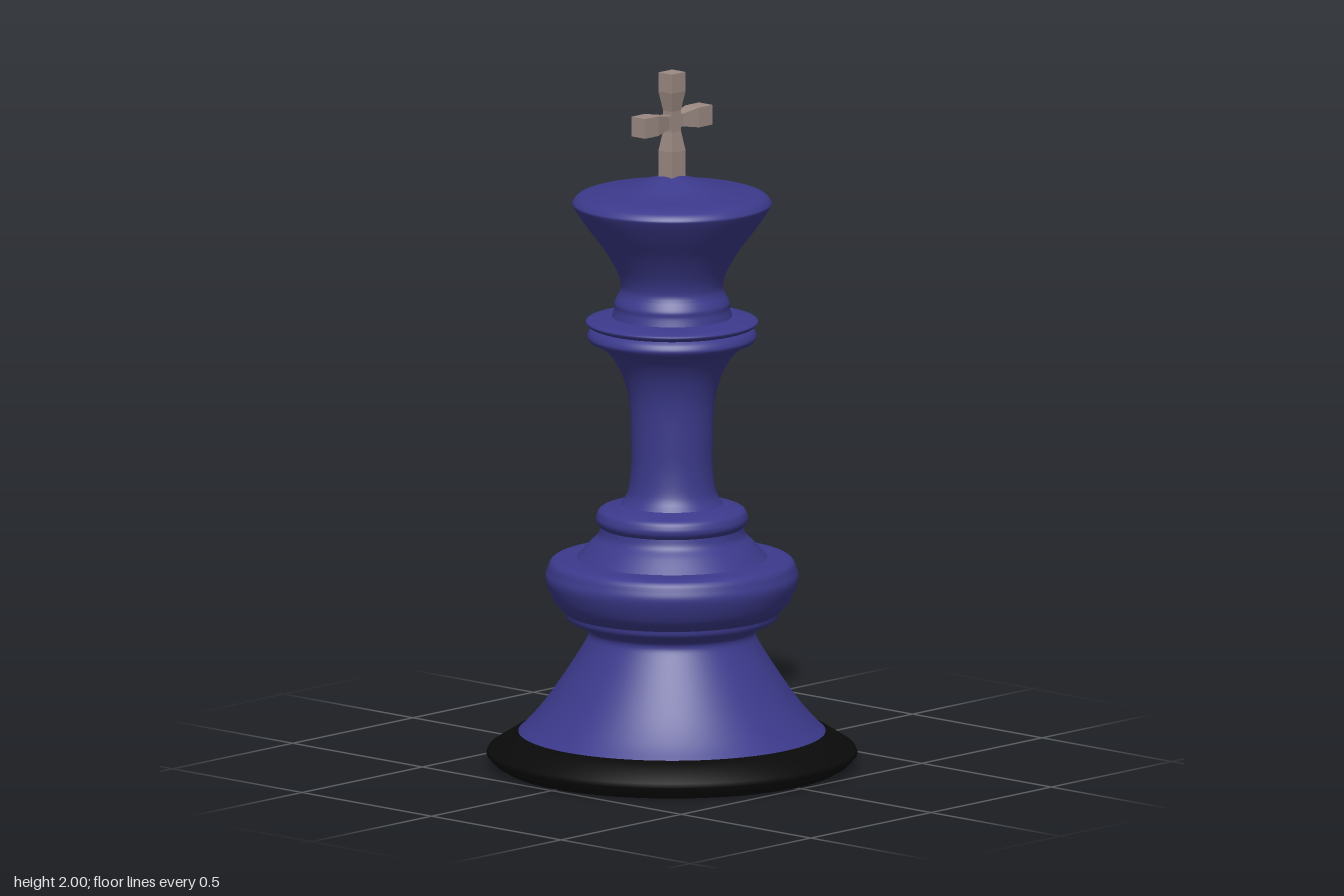
import * as THREE from 'three';

const blue = new THREE.MeshStandardMaterial({ color: 0x3c3a8c, side: THREE.DoubleSide });
const black = new THREE.MeshStandardMaterial({ color: 0x0a0a0a, side: THREE.DoubleSide });
const stone = new THREE.MeshStandardMaterial({ color: 0x9c8a82, flatShading: true });

// One turned section from [radius, height] points; curved sections run through a spline
function turned(name, points, material, curved = true) {
  const pts = points.map(([r, y]) => new THREE.Vector2(r, y));
  const profile = curved ? new THREE.SplineCurve(pts).getPoints(points.length * 4) : pts;
  profile.forEach(p => { p.x = Math.max(p.x, 0); });
  const mesh = new THREE.Mesh(new THREE.LatheGeometry(profile, 96), material);
  mesh.name = name;
  return mesh;
}

// Square bar along y, flared at both ends and pinched in the middle
function crossBar(name, bottom, top) {
  const rows = [[bottom, 1], [-0.085, 1], [-0.03, 0.66], [0.03, 0.66], [0.085, 1], [top, 1]];
  const geometry = new THREE.BoxGeometry(0.052, 1, 0.057, 1, rows.length - 1, 1);
  const pos = geometry.attributes.position;
  for (let i = 0; i < pos.count; i++) {
    const [y, s] = rows[Math.round((pos.getY(i) + 0.5) * (rows.length - 1))];
    pos.setXYZ(i, pos.getX(i) * s, y, pos.getZ(i) * s);
  }
  geometry.computeVertexNormals();
  const mesh = new THREE.Mesh(geometry, stone);
  mesh.name = name;
  return mesh;
}

export function createModel() {
  const model = new THREE.Group();
  model.name = 'chessKing';

  // Felt foot ring, open in the middle
  model.add(turned('footRing', [
    [0.36, 0.095], [0.42, 0], [0.48, 0], [0.505, 0.015], [0.525, 0.037],
    [0.52, 0.05], [0.45, 0.095], [0.36, 0.095],
  ], black, false));

  // Body sections, split where the turning has a sharp edge
  const body = new THREE.Group();
  body.name = 'body';
  body.add(
    turned('hollowCeiling', [[0, 0.24], [0.155, 0.24]], blue, false),
    turned('hollowWall', [[0.155, 0.24], [0.36, 0.1]], blue, false),
    turned('bellRim', [[0.36, 0.1], [0.435, 0.1]], blue, false),
    turned('bell', [
      [0.435, 0.1], [0.40, 0.135], [0.355, 0.19], [0.30, 0.27], [0.25, 0.35],
      [0.235, 0.385], [0.25, 0.405], [0.295, 0.425], [0.303, 0.445],
    ], blue),
    turned('belly', [
      [0.303, 0.445], [0.335, 0.48], [0.357, 0.535], [0.353, 0.567], [0.335, 0.595], [0.27, 0.602],
    ], blue),
    turned('shoulder', [[0.27, 0.602], [0.235, 0.64], [0.21, 0.665], [0.203, 0.69]], blue),
    turned('lowerCollar', [
      [0.203, 0.69], [0.214, 0.705], [0.214, 0.722], [0.20, 0.742], [0.145, 0.757],
    ], blue),
    turned('stem', [
      [0.145, 0.757], [0.125, 0.79], [0.116, 0.86], [0.116, 0.94], [0.121, 1.05],
      [0.14, 1.125], [0.17, 1.18], [0.2, 1.21], [0.232, 1.225],
    ], blue),
    turned('collarBead', [[0.232, 1.225], [0.24, 1.238], [0.234, 1.254], [0.222, 1.265]], blue),
    turned('collarDisc', [[0.222, 1.265], [0.239, 1.272], [0.239, 1.286], [0.17, 1.297]], blue),
    turned('neckBead', [[0.17, 1.297], [0.164, 1.32], [0.163, 1.338], [0.15, 1.362]], blue),
    turned('crown', [
      [0.15, 1.362], [0.144, 1.385], [0.157, 1.43], [0.195, 1.495], [0.24, 1.555],
      [0.277, 1.61], [0.28, 1.628], [0.25, 1.648], [0.145, 1.667], [0.075, 1.688],
      [0.03, 1.702], [0, 1.706],
    ], blue),
  );
  model.add(body);

  // Cross on top, its arms running front to back
  const cross = new THREE.Group();
  cross.name = 'cross';
  const arms = crossBar('crossArms', -0.14, 0.14);
  arms.rotation.x = Math.PI / 2;
  cross.add(crossBar('crossPost', -0.17, 0.14), arms);
  cross.position.y = 1.86;
  model.add(cross);

  return model;
}
